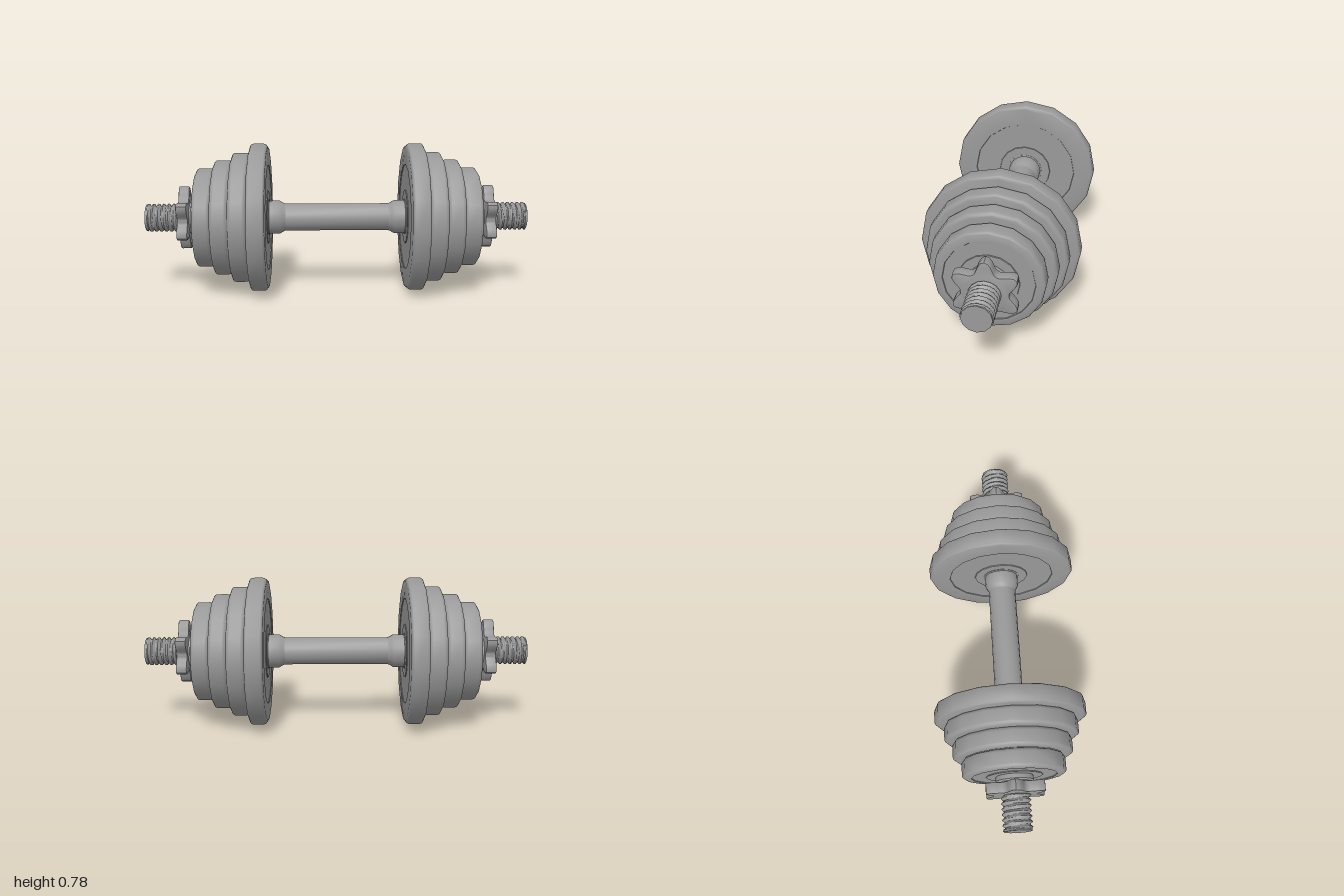
import * as THREE from 'three';
import { toCreasedNormals } from 'three/addons/utils/BufferGeometryUtils.js';

const AXIS_Y = 0.39;

export function createModel() {
  const model = new THREE.Group();
  model.name = 'dumbbell';
  const material = new THREE.MeshStandardMaterial({ color: 0x999999 });

  const add = (parent, name, geometry) => {
    const mesh = new THREE.Mesh(geometry, material);
    mesh.name = name;
    parent.add(mesh);
  };

  // Turned part along x; profile is a list of [radius, x] with x rising
  const turned = (profile, sides) => {
    const g = new THREE.LatheGeometry(profile.map(([r, x]) => new THREE.Vector2(r, x)), sides);
    g.rotateZ(-Math.PI / 2);
    return toCreasedNormals(g, 0.7);
  };

  // Weight plate with rounded rim, shallow dished faces and a raised hub
  const plate = (x0, x1, r, dish) => {
    const b = 0.02, d = 0.004, hub = 0.143;
    const half = [[0, 0], [hub - 0.002, 0], [hub, d], [dish - 0.002, d], [dish, 0]];
    for (let i = 0; i <= 4; i++) {
      const a = (i / 4) * Math.PI / 2;
      half.push([r - b + b * Math.sin(a), b - b * Math.cos(a)]);
    }
    const inner = half.map(([pr, px]) => [pr, x0 + px]);
    const outer = half.map(([pr, px]) => [pr, x1 - px]).reverse();
    return turned([...inner, ...outer], 16);
  };

  // Six-pointed spin-lock nut
  const starNut = () => {
    const pts = [];
    for (let i = 0; i < 72; i++) {
      const a = (i / 72) * Math.PI * 2;
      const r = 0.104 + 0.057 * Math.pow((1 + Math.cos(6 * a)) / 2, 1.5);
      pts.push(new THREE.Vector2(-Math.sin(a) * r, Math.cos(a) * r));
    }
    const g = new THREE.ExtrudeGeometry(new THREE.Shape(pts), {
      depth: 0.045, bevelThickness: 0.005, bevelSize: 0.005, bevelSegments: 2,
    });
    g.rotateY(Math.PI / 2);
    g.translate(0.775, 0, 0);
    return toCreasedNormals(g, 0.7);
  };

  // Threaded rod end: a cylinder whose radius follows a helix
  const thread = (x0, x1) => {
    const pitch = 0.026;
    const g = new THREE.CylinderGeometry(1, 1, x1 - x0, 16, 64, true);
    g.rotateZ(-Math.PI / 2);
    g.translate((x0 + x1) / 2, 0, 0);
    const p = g.attributes.position;
    for (let i = 0; i < p.count; i++) {
      const a = Math.atan2(p.getZ(i), p.getY(i));
      const wave = Math.cos((p.getX(i) / pitch) * Math.PI * 2 - a);
      const r = 0.069 + 0.006 * wave;
      p.setXYZ(i, p.getX(i), Math.cos(a) * r, Math.sin(a) * r);
    }
    return toCreasedNormals(g, 1.1);
  };

  const assembly = new THREE.Group();
  assembly.name = 'assembly';
  assembly.position.y = AXIS_Y;
  model.add(assembly);

  add(assembly, 'handle', turned([[0.072, -0.3], [0.072, 0.3]], 16));

  // Inner x, outer x, radius, radius of the dished face
  const plates = [
    [0.36, 0.452, 0.389, 0.28],
    [0.452, 0.545, 0.342, 0.28],
    [0.545, 0.638, 0.303, 0.25],
    [0.638, 0.732, 0.261, 0.215],
  ];

  // Both ends are the same, turned half round
  for (const [name, turn] of [['leftEnd', 0], ['rightEnd', Math.PI]]) {
    const end = new THREE.Group();
    end.name = name;
    end.rotation.y = turn;
    assembly.add(end);

    add(end, 'handleFlange', turned(
      [[0.072, 0.27], [0.078, 0.285], [0.088, 0.3], [0.088, 0.355], [0.095, 0.358], [0.095, 0.375]], 16));
    plates.forEach(([x0, x1, r, dish], i) => add(end, 'plate' + (i + 1), plate(x0, x1, r, dish)));
    add(end, 'collar', turned(
      [[0.095, 0.715], [0.095, 0.755], [0.09, 0.76], [0.082, 0.762], [0.082, 0.775]], 16));
    add(end, 'starNut', starNut());
    add(end, 'thread', thread(0.8, 0.998));
    add(end, 'rodTip', turned([[0.07, 0.985], [0.07, 1], [0, 1]], 12));
  }

  return model;
}
